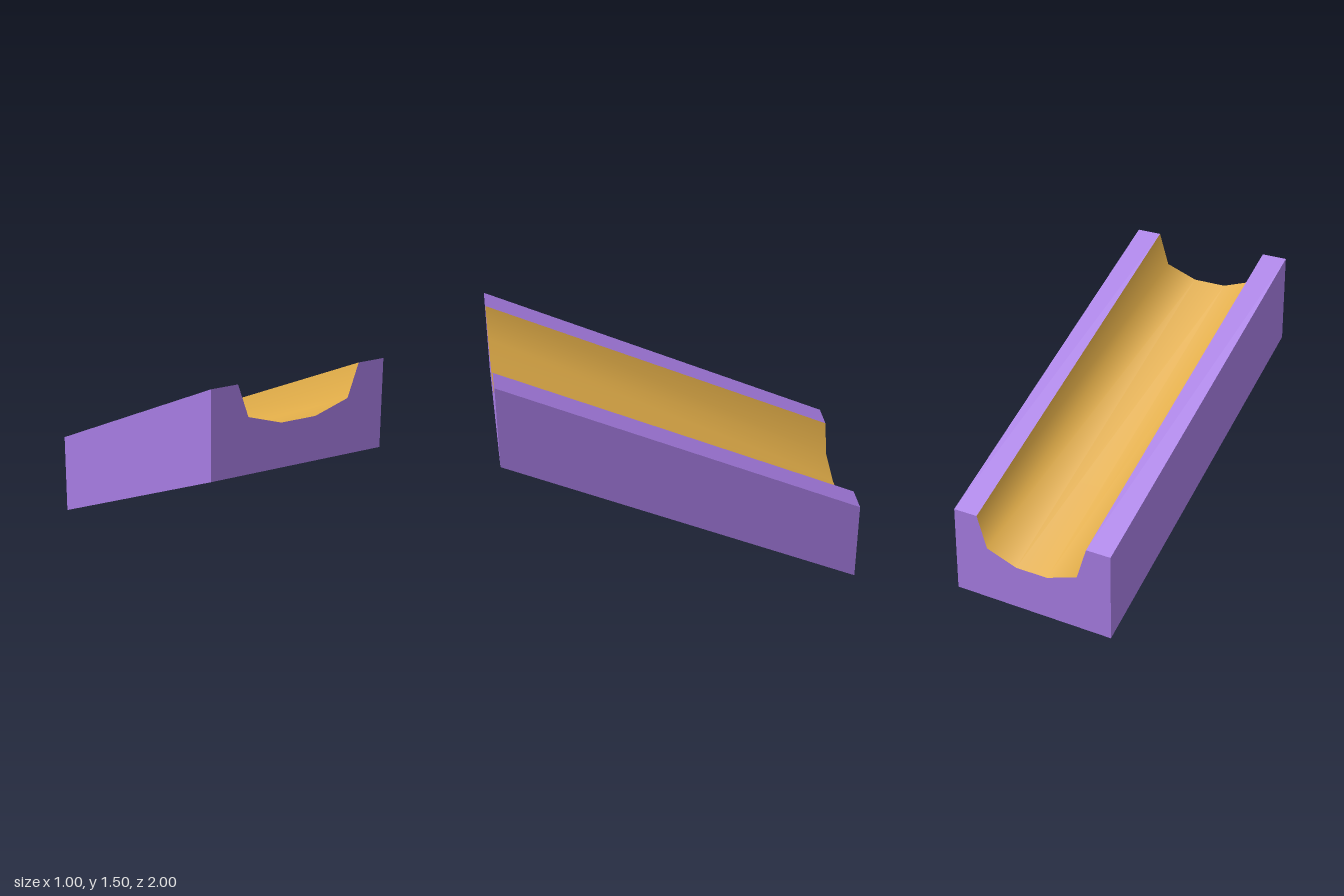
import * as THREE from 'three';

// Half of the U-shaped groove, from the rim down to the floor
const HALF_GROOVE = [[0.35, 0.5], [0.29, 0.315], [0.1, 0.25]];
const mirrored = HALF_GROOVE.map(([x, y]) => [-x, y]).reverse();
const GROOVE = [...HALF_GROOVE, ...mirrored];
const OUTER = [[-0.35, 0.5], [-0.5, 0.5], [-0.5, 0], [0.5, 0], [0.5, 0.5], [0.35, 0.5]];

// Sweep a counter-clockwise cross-section along z, climbing one unit towards the front
function sweep(path) {
  const positions = [];
  const index = [];
  path.forEach(([x, y], i) => {
    positions.push(x, y, -1, x, y + 1, 1);
    if (i < path.length - 1) {
      const a = i * 2;
      index.push(a, a + 2, a + 3, a, a + 3, a + 1);
    }
  });
  const geometry = new THREE.BufferGeometry();
  geometry.setAttribute('position', new THREE.Float32BufferAttribute(positions, 3));
  geometry.setIndex(index);
  return geometry;
}

export function createModel() {
  const purple = new THREE.MeshStandardMaterial({ color: 0xa67ce2 });
  purple.name = 'purple';
  const amber = new THREE.MeshStandardMaterial({ color: 0xe0ac48 });
  amber.name = 'amber';

  const model = new THREE.Group();
  model.name = 'slopedChannel';
  const add = (name, geometry, material) => {
    const mesh = new THREE.Mesh(geometry, material);
    mesh.name = name;
    model.add(mesh);
    return mesh;
  };

  // Rims, side walls and underside, with hard edges
  const outer = sweep(OUTER).toNonIndexed();
  outer.computeVertexNormals();
  add('outerWalls', outer, purple);

  // Smoothly shaded groove
  const groove = sweep(GROOVE);
  groove.computeVertexNormals();
  add('groove', groove, amber);

  // Upright end faces
  const outline = [...OUTER, ...HALF_GROOVE.slice(1), ...mirrored.slice(0, -1)];
  const endFace = new THREE.ShapeGeometry(
    new THREE.Shape(outline.map(([x, y]) => new THREE.Vector2(x, y)))
  );
  add('frontEnd', endFace, purple).position.set(0, 1, 1);
  const back = add('backEnd', endFace, purple);
  back.position.z = -1;
  back.rotation.y = Math.PI;

  return model;
}
